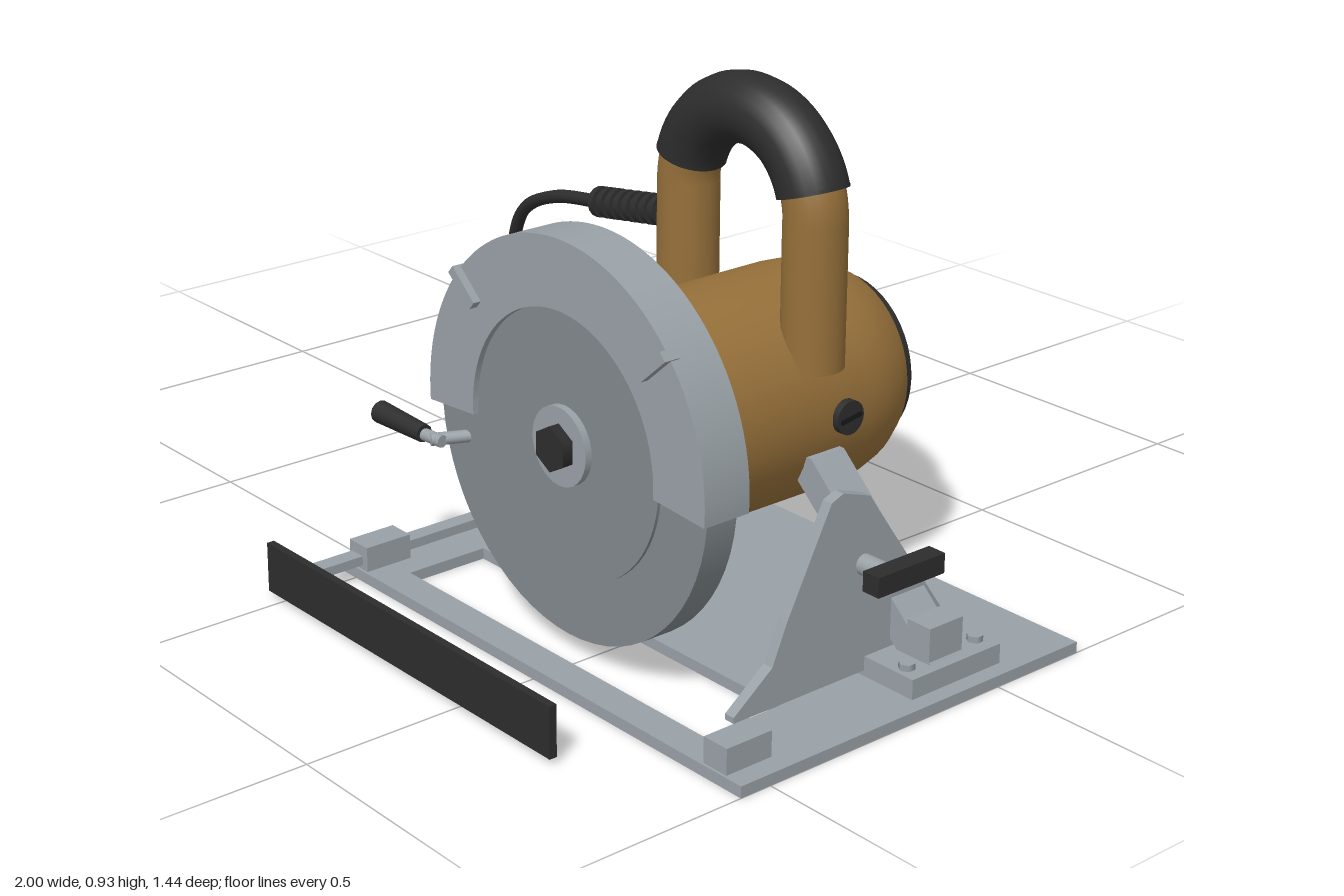
import * as THREE from 'three';
import { toCreasedNormals } from 'three/addons/utils/BufferGeometryUtils.js';

const material = (name, color) => {
  const m = new THREE.MeshStandardMaterial({ color });
  m.name = name;
  return m;
};

export function createModel() {
  const steel = material('light steel', 0x99a1a6);
  const guardGrey = material('guard grey', 0x81898d);
  const castGrey = material('cast housing grey', 0x98a2aa);
  const ochre = material('ochre casing', 0x96703a);
  const rubber = material('black rubber', 0x2d2d2d);
  const slotBlack = material('slot black', 0x171717);

  const model = new THREE.Group();
  model.name = 'circularSaw';
  const CX = 0.467, CY = 0.375; // motor and blade axis

  const add = (name, geometry, mat, x = 0, y = 0, z = 0, parent = model) => {
    const mesh = new THREE.Mesh(geometry, mat);
    mesh.name = name;
    mesh.position.set(x, y, z);
    parent.add(mesh);
    return mesh;
  };
  // Box given by its limits on each axis
  const box = (name, mat, [x0, x1], [y0, y1], [z0, z1]) =>
    add(name, new THREE.BoxGeometry(x1 - x0, y1 - y0, z1 - z0), mat,
      (x0 + x1) / 2, (y0 + y1) / 2, (z0 + z1) / 2);
  // Cylinder between two points
  const rod = (name, mat, a, b, r, sides = 20, r2 = r) => {
    const p = new THREE.Vector3(...a), q = new THREE.Vector3(...b);
    const d = q.clone().sub(p);
    const mesh = add(name, new THREE.CylinderGeometry(r2, r, d.length(), sides), mat);
    mesh.position.copy(p).add(q).multiplyScalar(0.5);
    mesh.quaternion.setFromUnitVectors(new THREE.Vector3(0, 1, 0), d.normalize());
    return mesh;
  };
  // Turned part on the motor axis; points are [radius, z], back to front
  const turned = (name, mat, points) => {
    const g = new THREE.LatheGeometry(points.map(p => new THREE.Vector2(...p)), 48);
    add(name, toCreasedNormals(g, 0.5), mat, CX, CY, 0).rotation.x = Math.PI / 2;
  };
  const extrude = (shape, depth) =>
    new THREE.ExtrudeGeometry(shape, { depth, bevelEnabled: false, curveSegments: 48 });
  const polygon = pts => new THREE.Shape(pts.map(p => new THREE.Vector2(...p)));

  // Base plate with blade opening
  const plate = polygon([[-0.06, -0.56], [1, -0.56], [1, 0.19], [-0.06, 0.19]]);
  plate.holes.push(new THREE.Path([[0.08, -0.5], [0.08, -0.34], [0.85, -0.34], [0.85, -0.5]]
    .map(p => new THREE.Vector2(...p))));
  add('basePlate', extrude(plate, 0.02), steel).rotation.x = -Math.PI / 2;

  // Motor casing, gear housing and rear cap
  turned('motorCasing', ochre, [[0, -0.165], [0.14, -0.165], [0.165, -0.15], [0.185, -0.115],
    [0.197, -0.07], [0.2, -0.03], [0.2, 0.28], [0, 0.28]]);
  turned('gearHousing', castGrey, [[0, 0.265], [0.2, 0.265], [0.215, 0.275], [0.238, 0.305],
    [0.248, 0.33], [0.25, 0.345], [0.244, 0.37], [0.238, 0.39], [0, 0.39]]);
  turned('rearCap', rubber, [[0, -0.185], [0.138, -0.185], [0.15, -0.175], [0.152, -0.15], [0, -0.15]]);
  for (let i = -2; i <= 2; i++)
    for (const s of [-1, 1])
      box('ventSlot', slotBlack, [CX + i * 0.037 - 0.007, CX + i * 0.037 + 0.007],
        [CY + s * 0.05 - 0.035, CY + s * 0.05 + 0.035], [-0.188, -0.184]);

  // Brush caps on both sides of the motor
  for (const s of [-1, 1]) {
    rod('brushCap', rubber, [CX + s * 0.18, CY, 0.03], [CX + s * 0.212, CY, 0.03], 0.03);
    const slot = add('brushCapSlot', new THREE.BoxGeometry(0.004, 0.008, 0.046), slotBlack,
      CX + s * 0.213, CY, 0.03);
    slot.rotation.x = 0.15;
  }

  // Upper blade guard: half ring
  const ring = new THREE.Shape();
  const a0 = -0.07, a1 = Math.PI + 0.07;
  ring.absarc(0, 0, 0.35, a0, a1, false);
  ring.absarc(0, 0, 0.23, a1, a0, true);
  ring.closePath();
  add('upperGuard', toCreasedNormals(extrude(ring, 0.092), 0.5), steel, CX, CY, 0.383);
  for (const a of [0.72, Math.PI - 0.72])
    add('guardRib', new THREE.BoxGeometry(0.075, 0.018, 0.03), steel,
      CX + 0.317 * Math.cos(a), CY + 0.317 * Math.sin(a), 0.475).rotation.z = a;

  // Lower guard, centre disc and blade bolt
  rod('lowerGuard', guardGrey, [CX, CY, 0.397], [CX, CY, 0.458], 0.338, 64);
  rod('guardCentre', guardGrey, [CX, CY, 0.45], [CX, CY, 0.464], 0.23, 64);
  rod('boltWasher', steel, [CX, CY, 0.46], [CX, CY, 0.477], 0.068, 32);
  rod('bladeBolt', rubber, [CX, CY, 0.47], [CX, CY, 0.496], 0.04, 6);

  // Lower guard lever
  rod('leverStem', steel, [0.2, 0.303, 0.45], [0.17, 0.303, 0.515], 0.011, 12);
  rod('leverArm', steel, [0.19, 0.303, 0.505], [0.13, 0.303, 0.51], 0.011, 12);
  rod('leverGrip', rubber, [0.145, 0.305, 0.51], [0.02, 0.307, 0.512], 0.016, 12, 0.02);

  // Arched handle with rubber grip
  const HZ = 0.067, HY = 0.71, HR = 0.155;
  add('handleArch', new THREE.TorusGeometry(HR, 0.054, 20, 32, Math.PI), ochre, CX, HY, HZ);
  const gripStart = 0.3;
  const grip = new THREE.TorusGeometry(HR, 0.061, 20, 32, Math.PI - 2 * gripStart);
  add('handleGrip', grip, rubber, CX, HY, HZ).rotation.z = gripStart;
  for (const s of [-1, 1]) {
    rod('handleLeg', ochre, [CX + s * HR, 0.46, HZ], [CX + s * HR, HY, HZ], 0.054, 24);
    const c = Math.cos(gripStart), n = Math.sin(gripStart);
    const ex = CX + s * HR * c, ey = HY + HR * n;
    rod('gripEnd', rubber, [ex, ey, HZ], [ex - s * 0.006 * n, ey + 0.006 * c, HZ], 0.061, 24);
  }

  // Strain relief with ribs
  const relief = t => [0.07 + t * 0.21, 0.608 + t * 0.032, 0.064];
  rod('strainRelief', rubber, relief(0), relief(1), 0.021, 16);
  for (let i = 0; i < 8; i++)
    rod('strainRib', rubber, relief(0.01 + i * 0.11), relief(0.07 + i * 0.11), 0.028, 16);

  // Power cord, plug and prongs
  const path = [[0.09, 0.61, 0.064], [-0.06, 0.585, 0.06], [-0.17, 0.53, 0.046],
    [-0.24, 0.42, 0.02], [-0.31, 0.26, -0.02], [-0.37, 0.12, -0.1], [-0.41, 0.035, -0.2],
    [-0.437, 0.014, -0.3], [-0.45, 0.014, -0.42], [-0.49, 0.014, -0.57], [-0.62, 0.014, -0.67],
    [-0.79, 0.014, -0.71], [-0.91, 0.014, -0.65], [-0.988, 0.014, -0.53],
    [-0.93, 0.014, -0.43], [-0.81, 0.016, -0.33], [-0.75, 0.024, -0.26], [-0.7, 0.03, -0.2]];
  const cord = new THREE.CatmullRomCurve3(path.map(p => new THREE.Vector3(...p)));
  add('powerCord', new THREE.TubeGeometry(cord, 160, 0.012, 10), rubber);
  const plug = polygon([[-0.715, 0.17], [-0.695, 0.158], [-0.6, 0.158], [-0.585, 0.17],
    [-0.585, 0.222], [-0.6, 0.234], [-0.695, 0.234], [-0.715, 0.222]]);
  add('plug', extrude(plug, 0.052), rubber, 0, 0.006, 0).rotation.x = -Math.PI / 2;
  for (const z of [-0.214, -0.18])
    box('plugProng', steel, [-0.59, -0.518], [0.022, 0.042], [z - 0.003, z + 0.003]);

  // Depth quadrant on the left side
  const quadrant = polygon([[0.45, 0.04], [0.37, 0.1], [0.34, 0.17], [0.25, 0.345], [0.225, 0.355],
    [0.165, 0.335], [0.145, 0.305], [-0.035, 0.05], [-0.035, 0.03], [0.45, 0.03]]);
  add('depthQuadrant', extrude(quadrant, 0.02), steel, 0.862, 0, 0).rotation.y = -Math.PI / 2;
  rod('quadrantRod', steel, [0.805, 0.22, 0.175], [0.92, 0.22, 0.175], 0.018);
  box('quadrantLever', rubber, [0.91, 0.945], [0.205, 0.24], [0.078, 0.225]);

  // Slanted struts from motor to base
  const strut = pts => extrude(polygon(pts), 0.075);
  add('leftStrut', strut([[0.64, 0.32], [0.67, 0.32], [0.965, 0.045], [0.9, 0.035], [0.62, 0.29]]),
    steel, 0, 0, 0.035);
  add('rightStrut', strut([[0.31, 0.32], [0.05, 0.05], [0.11, 0.04], [0.33, 0.25]]),
    steel, 0, 0, 0.035);

  // Hinge plates, lugs and bolts
  for (const [x0, x1, bx] of [[0.835, 0.97, 0.935], [-0.04, 0.11, 0.005]]) {
    box('hingePlate', steel, [x0, x1], [0.018, 0.055], [-0.035, 0.167]);
    rod('hingeBolt', steel, [bx, 0.05, -0.012], [bx, 0.066, -0.012], 0.014, 6);
    rod('hingeBolt', steel, [bx, 0.05, 0.145], [bx, 0.066, 0.145], 0.014, 6);
  }
  box('hingeLug', steel, [0.9, 0.95], [0.05, 0.118], [0.035, 0.11]);

  // Bevel post with clamp lever on the right side
  box('bevelPost', steel, [0.066, 0.125], [0.05, 0.39], [0.035, 0.1]);
  rod('bevelRod', steel, [-0.04, 0.22, 0.03], [0.1, 0.22, 0.03], 0.017);
  box('bevelLever', rubber, [-0.065, -0.028], [0.21, 0.247], [-0.05, 0.105]);

  // Rip fence, its bar, guide blocks and lock knob
  box('ripFence', rubber, [-0.035, 0.74], [0.01, 0.1], [0.703, 0.717]);
  box('fenceBar', steel, [-0.016, 0.016], [0.028, 0.045], [-0.088, 0.708]);
  box('fenceGuide', steel, [-0.022, 0.03], [0.018, 0.065], [0.463, 0.555]);
  box('fenceGuide', steel, [0.91, 0.962], [0.018, 0.065], [0.463, 0.555]);
  box('fenceClamp', steel, [-0.03, 0.03], [0.018, 0.055], [0.21, 0.26]);
  rod('lockStem', steel, [0, 0.05, 0.235], [0, 0.085, 0.235], 0.01, 10);
  box('lockKnob', rubber, [-0.03, 0.03], [0.075, 0.105], [0.215, 0.255]);

  return model;
}
